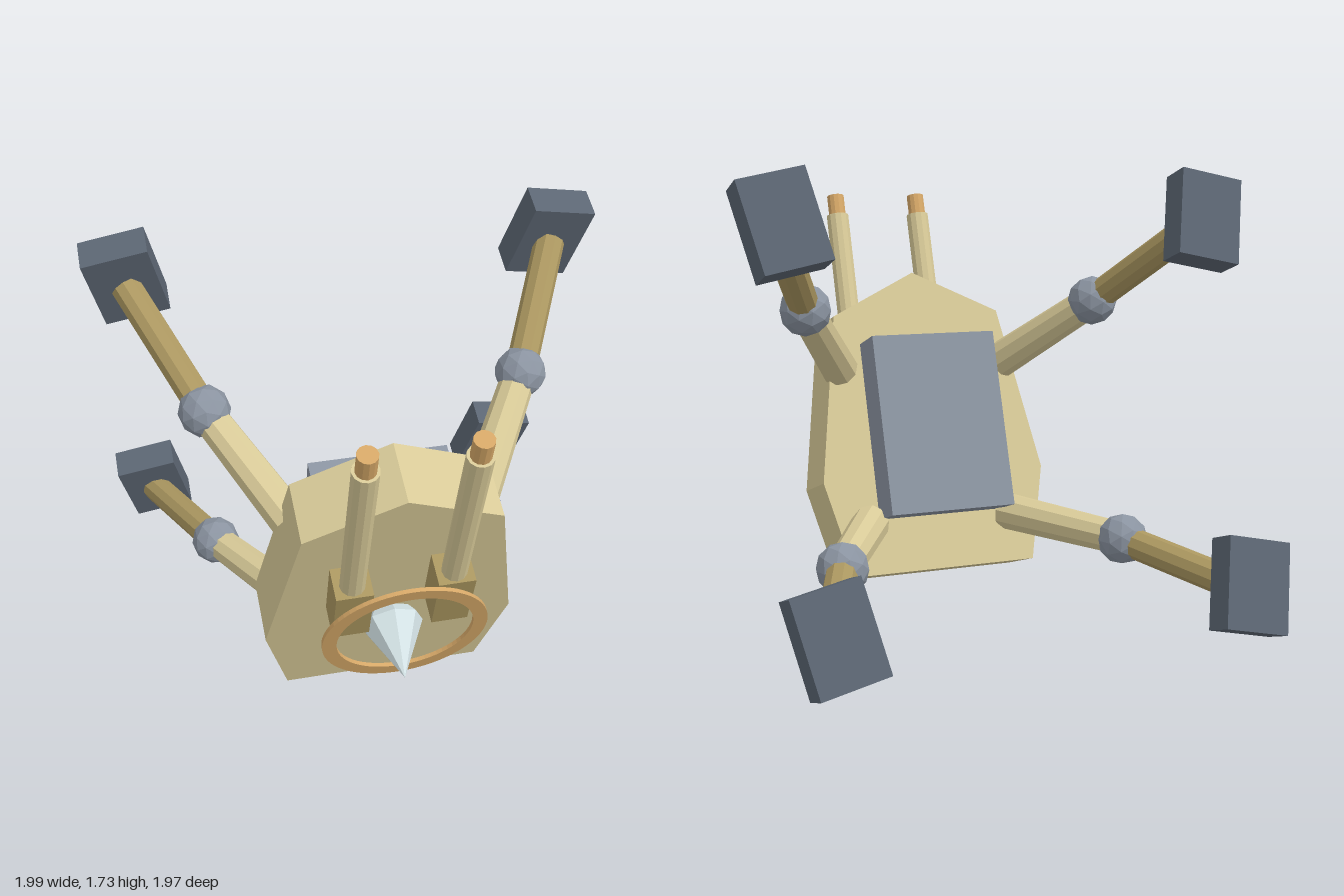
import * as THREE from 'three';

const TILT = THREE.MathUtils.degToRad(18);
const ROLL = THREE.MathUtils.degToRad(12);

const mat = (color, flatShading = true) => new THREE.MeshStandardMaterial({ color, flatShading });
const sand = mat(0xd8ca98);
const ochre = mat(0xab9760);
const slate = mat(0x5c6673);
const steel = mat(0x8b94a1);
const copper = mat(0xd6a868);
const ice = mat(0xd3e2e5);

function add(parent, name, geometry, material, x = 0, y = 0, z = 0) {
  const mesh = new THREE.Mesh(geometry, material);
  mesh.name = name;
  mesh.position.set(x, y, z);
  parent.add(mesh);
  return mesh;
}

// Tapered tube between two points
function strut(parent, name, a, b, rA, rB, material) {
  const dir = b.clone().sub(a);
  const mesh = add(parent, name, new THREE.CylinderGeometry(rB, rA, dir.length(), 10), material);
  mesh.position.copy(a).lerp(b, 0.5);
  mesh.quaternion.setFromUnitVectors(new THREE.Vector3(0, 1, 0), dir.normalize());
}

// Body parts in a leaning frame: y runs up the hull, z = 0 is its front plate
function buildBody() {
  const body = new THREE.Group();
  body.name = 'body';
  body.position.set(0, 0.047, 0.36);
  body.rotation.x = TILT;

  const outline = [[-0.39, 0], [0.39, 0], [0.483, 0.385], [0.365, 1.067],
    [0, 1.243], [-0.365, 1.067], [-0.483, 0.385]];
  const hull = new THREE.Shape(outline.map(([x, y]) => new THREE.Vector2(x, y)));
  add(body, 'hull', new THREE.ExtrudeGeometry(hull, { depth: 0.25, bevelEnabled: false }), sand, 0, 0, -0.25);
  add(body, 'backPack', new THREE.BoxGeometry(0.53, 0.725, 0.18), steel, 0, 0.583, -0.32);

  // Twin guns
  for (const s of [-1, 1]) {
    const gun = new THREE.Group();
    gun.name = s > 0 ? 'leftGun' : 'rightGun';
    gun.position.x = s * 0.188;
    body.add(gun);
    add(gun, 'gunMount', new THREE.BoxGeometry(0.138, 0.278, 0.15), ochre, 0, 0.724, 0.055);
    add(gun, 'barrel', new THREE.CylinderGeometry(0.048, 0.048, 0.76, 12), sand, 0, 1.213, 0.075);
    add(gun, 'muzzle', new THREE.CylinderGeometry(0.037, 0.037, 0.1, 12), copper, 0, 1.632, 0.075);
  }

  // Flat ring in front of the nose
  const disc = new THREE.Shape().absarc(0, 0, 0.31, 0, Math.PI * 2);
  disc.holes.push(new THREE.Path().absarc(0, 0, 0.256, 0, Math.PI * 2, true));
  add(body, 'ring', new THREE.ExtrudeGeometry(disc, { depth: 0.016, bevelEnabled: false, curveSegments: 32 }),
    copper, 0, 0.647, 0.175);

  // Faceted nose spike
  const profile = [[0, -0.03], [0.07, -0.03], [0.12, 0.04], [0, 0.27]].map(([r, y]) => new THREE.Vector2(r, y));
  const nose = add(body, 'noseSpike', new THREE.LatheGeometry(profile, 8), ice, 0, 0.444, 0);
  nose.rotation.x = Math.PI / 2;
  return body;
}

// Leg: thigh, ball knee, shin and a tilted block foot
function buildLeg(name, s, { hip, knee, foot }) {
  const leg = new THREE.Group();
  leg.name = name;
  const at = ([x, y, z]) => new THREE.Vector3(s * x, y, z);
  const k = at(knee);
  const f = at(foot);
  const ankle = f.clone().add(new THREE.Vector3(0, -0.016, 0.05));
  strut(leg, 'thigh', at(hip), k, 0.077, 0.066, sand);
  strut(leg, 'shin', k, ankle, 0.06, 0.06, ochre);
  add(leg, 'knee', new THREE.IcosahedronGeometry(0.1, 1), steel, k.x, k.y, k.z);
  const block = add(leg, 'foot', new THREE.BoxGeometry(0.255, 0.34, 0.126), slate, f.x, f.y, f.z);
  block.rotation.set(TILT, 0, -s * ROLL);
  return leg;
}

export function createModel() {
  const model = new THREE.Group();
  model.name = 'walker';
  model.add(buildBody());
  const legs = {
    UpperLeg: { hip: [0.36, 0.93, 0.4], knee: [0.61, 1.205, 0.04], foot: [0.834, 1.538, -0.425] },
    LowerLeg: { hip: [0.3, 0.32, 0.2], knee: [0.583, 0.283, -0.29], foot: [0.797, 0.213, -0.861] },
  };
  for (const [name, points] of Object.entries(legs)) {
    model.add(buildLeg('left' + name, 1, points), buildLeg('right' + name, -1, points));
  }
  return model;
}
